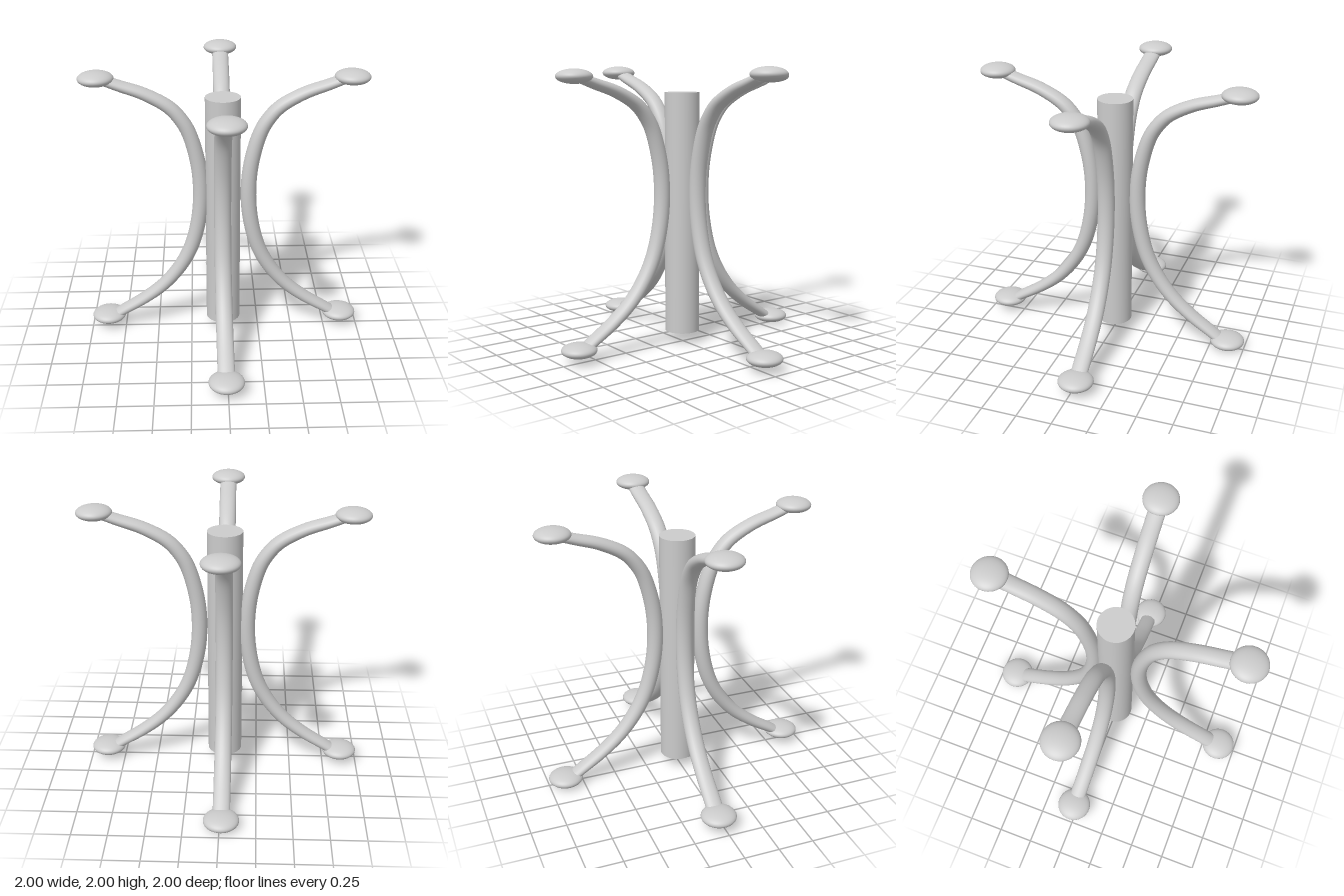
import * as THREE from 'three';

const material = new THREE.MeshStandardMaterial({ color: 0xcccccc });
const PAD_R = 0.124, PAD_H = 0.05;

// Bowed arm centreline: [distance from the axis, height]
const PATH = [
  [0.83, 0.09], [0.76, 0.135], [0.6, 0.235], [0.45, 0.357], [0.33, 0.505], [0.245, 0.67],
  [0.188, 0.89], [0.17, 1.11], [0.188, 1.33], [0.25, 1.56], [0.305, 1.658], [0.385, 1.745],
  [0.55, 1.837], [0.72, 1.895], [0.83, 1.935],
];

// One arm per side: heading, [reach, height] of both pads, sideways position at the waist and tips
const ARMS = [
  { name: 'leftArm', dir: [1, 0], low: [0.87, 0.09], high: [0.874, 1.95], waist: 0, tip: -0.024 },
  { name: 'rightArm', dir: [-1, 0], low: [0.875, 0.09], high: [0.875, 1.95], waist: -0.01, tip: -0.027 },
  { name: 'frontArm', dir: [0, 1], low: [0.87, 0.092], high: [0.873, 1.935], waist: -0.019, tip: -0.011 },
  { name: 'backArm', dir: [0, -1], low: [0.875, 0.055], high: [0.864, 1.93], waist: -0.012, tip: -0.012 },
];

// Sweeps an oval section, thinner towards the tips, along a curve lying in a vertical plane
function ovalTube(curve, side, steps = 72, sides = 24) {
  const pos = [], index = [];
  for (let i = 0; i <= steps; i++) {
    const u = i / steps;
    const p = curve.getPointAt(u);
    const normal = new THREE.Vector3().crossVectors(curve.getTangentAt(u), side).normalize();
    const thick = 0.034 + 0.022 * Math.sin(Math.PI * u);
    for (let j = 0; j < sides; j++) {
      const a = (j / sides) * Math.PI * 2;
      const v = p.clone()
        .addScaledVector(side, 0.06 * Math.cos(a))
        .addScaledVector(normal, thick * Math.sin(a));
      pos.push(v.x, v.y, v.z);
      if (i < steps) {
        const k = (j + 1) % sides, r = i * sides, n = r + sides;
        index.push(r + j, r + k, n + j, r + k, n + k, n + j);
      }
    }
  }
  // End caps
  const last = steps * sides;
  for (let j = 1; j < sides - 1; j++) {
    index.push(0, j + 1, j, last, last + j, last + j + 1);
  }
  const geo = new THREE.BufferGeometry();
  geo.setAttribute('position', new THREE.Float32BufferAttribute(pos, 3));
  geo.setIndex(index);
  geo.computeVertexNormals();
  return geo;
}

function makeArm({ name, dir: [dx, dz], low, high, waist, tip }) {
  const group = new THREE.Group();
  group.name = name;
  // Point at a distance r along the heading, shifted sideways
  const place = (r, y, s) => new THREE.Vector3(dx * r + Math.abs(dz) * s, y, dz * r + Math.abs(dx) * s);

  const points = PATH.map(([r, y]) => {
    const t = Math.min(1, (r - 0.17) / 0.66);
    const dy = y < 1 ? low[1] - 0.092 : high[1] - 1.945;
    return place(r, y + dy * t, waist + (tip - waist) * t);
  });
  const side = new THREE.Vector3(dz, 0, -dx);
  const bar = new THREE.Mesh(ovalTube(new THREE.CatmullRomCurve3(points), side), material);
  bar.name = name + 'Bar';
  group.add(bar);

  // Flattened round pads on both tips
  for (const [label, [reach, y]] of [['LowerPad', low], ['UpperPad', high]]) {
    const pad = new THREE.Mesh(new THREE.SphereGeometry(PAD_R, 40, 24), material);
    pad.name = name + label;
    pad.scale.y = PAD_H / PAD_R;
    pad.position.copy(place(reach, y, tip));
    group.add(pad);
  }
  return group;
}

export function createModel() {
  const model = new THREE.Group();
  model.name = 'tableBase';

  // Central column
  const column = new THREE.Mesh(new THREE.CylinderGeometry(0.124, 0.124, 1.73, 48), material);
  column.name = 'column';
  column.position.set(-0.012, 0.955, -0.003);
  model.add(column);

  for (const arm of ARMS) model.add(makeArm(arm));
  return model;
}
